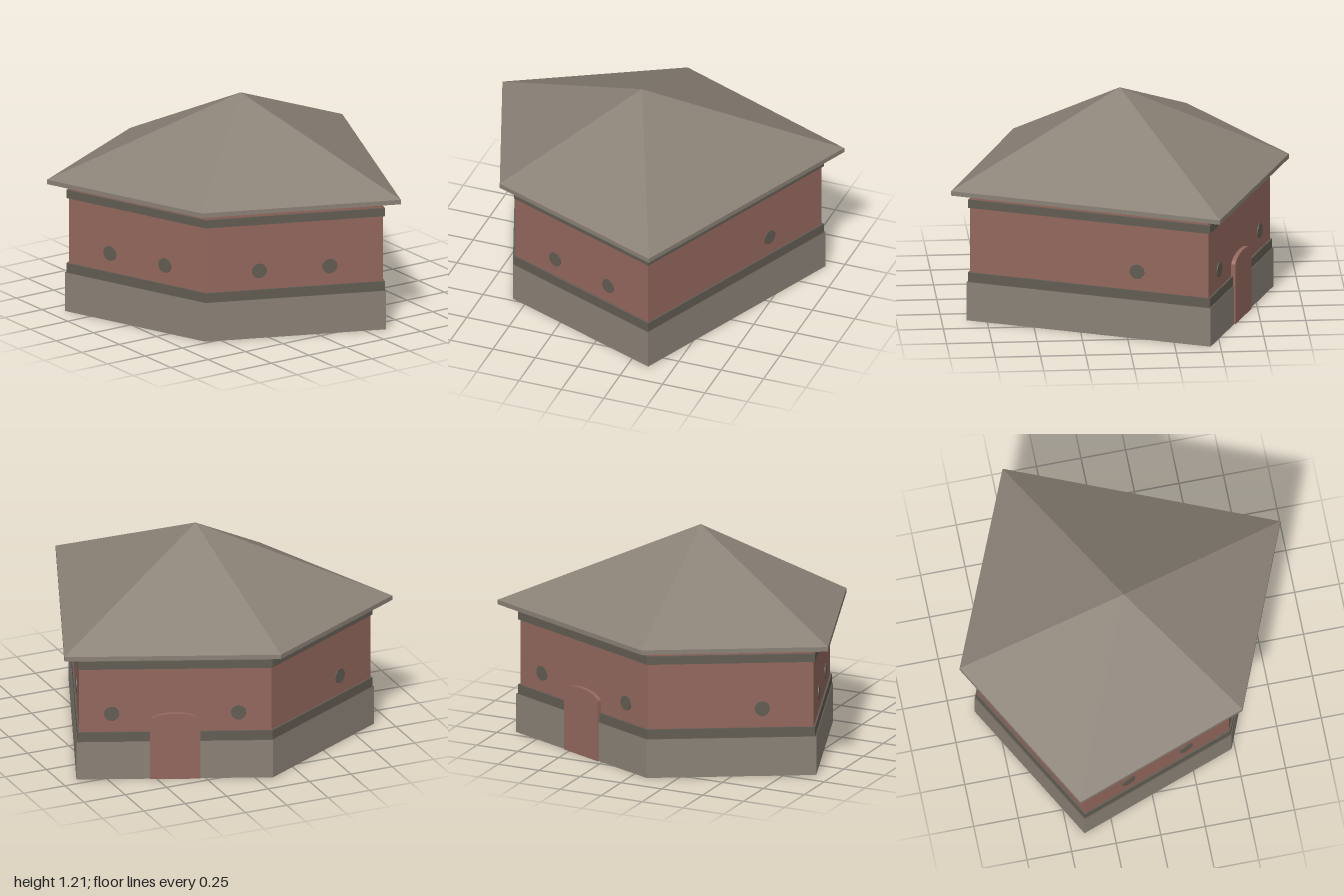
import * as THREE from 'three';

const mat = (name, color) => {
  const m = new THREE.MeshStandardMaterial({ color, side: THREE.DoubleSide, flatShading: true });
  m.name = name;
  return m;
};

// Irregular five-sided plan (x, z) of the eaves, relative to the apex
const CX = -0.01, CZ = -0.01;
const PLAN = [[-0.99, -0.44], [-0.09, -0.94], [1.01, -0.48], [0.41, 0.96], [-0.63, 0.54]];
const WALL = 0.888, BAND = 0.9, BASE = 0.908;

const corner = (i, scale, y) => {
  const [x, z] = PLAN[i % PLAN.length];
  return new THREE.Vector3(CX + x * scale, y, CZ + z * scale);
};

// Sweeps a profile of [scale, height] pairs around the plan
function shell(name, material, profile) {
  const pos = [];
  const tri = (...pts) => pts.forEach(p => pos.push(p.x, p.y, p.z));
  for (let k = 0; k < profile.length - 1; k++) {
    const [s0, y0] = profile[k], [s1, y1] = profile[k + 1];
    for (let i = 0; i < PLAN.length; i++) {
      const a = corner(i + 1, s0, y0), b = corner(i, s0, y0);
      const c = corner(i, s1, y1), d = corner(i + 1, s1, y1);
      tri(a, b, c);
      if (s1 > 0) tri(a, c, d);
    }
  }
  const g = new THREE.BufferGeometry();
  g.setAttribute('position', new THREE.Float32BufferAttribute(pos, 3));
  g.computeVertexNormals();
  const mesh = new THREE.Mesh(g, material);
  mesh.name = name;
  return mesh;
}

// Puts a mesh on wall i at fraction t along it, facing outward
function placeOnWall(mesh, i, t, y, out) {
  const a = corner(i, WALL, y), b = corner(i + 1, WALL, y);
  const dir = b.clone().sub(a).normalize();
  const n = new THREE.Vector3(dir.z, 0, -dir.x);
  mesh.position.copy(a.lerp(b, t)).addScaledVector(n, out);
  mesh.rotation.y = Math.atan2(n.x, n.z);
  return mesh;
}

export function createModel() {
  const model = new THREE.Group();
  model.name = 'pentagonalHouse';
  const stone = mat('stone', 0x8a8176);
  const brick = mat('red brick', 0x93675d);
  const trim = mat('dark trim', 0x625d53);

  // Stacked, hollow shell
  model.add(
    shell('stoneBase', stone, [[BASE, 0], [BASE, 0.223]]),
    shell('lowerBand', trim, [[BASE, 0.223], [BAND, 0.223], [BAND, 0.277], [WALL, 0.277]]),
    shell('brickWall', brick, [[WALL, 0.277], [WALL, 0.653]]),
    shell('upperBand', trim, [[WALL, 0.653], [BAND, 0.653], [BAND, 0.7], [WALL, 0.7]]),
    shell('wallTop', brick, [[WALL, 0.7], [WALL, 0.74]]),
    shell('roof', stone, [[WALL, 0.74], [1, 0.74], [1, 0.766], [0, 1.207]])
  );

  // Round windows: [wall, fraction along it]
  const disc = new THREE.CylinderGeometry(0.042, 0.042, 0.006, 24);
  disc.rotateX(Math.PI / 2);
  [[0, 0.31], [1, 0.17], [1, 0.83], [2, 0.3], [3, 0.3], [3, 0.7], [4, 0.3], [4, 0.7]].forEach(([i, t]) => {
    const w = new THREE.Mesh(disc, trim);
    w.name = 'roundWindow';
    model.add(placeOnWall(w, i, t, 0.385, 0.002));
  });

  // Arched door
  const half = 0.14, spring = 0.342;
  const arch = new THREE.Shape();
  arch.moveTo(-half, 0);
  arch.lineTo(half, 0);
  arch.lineTo(half, spring);
  arch.absellipse(0, spring, half, 0.048, 0, Math.PI, false);
  arch.lineTo(-half, 0);
  const door = new THREE.Mesh(
    new THREE.ExtrudeGeometry(arch, { depth: 0.026, bevelEnabled: false, curveSegments: 16 }), brick);
  door.name = 'archedDoor';
  model.add(placeOnWall(door, 1, 0.5, 0, -0.002));

  return model;
}
